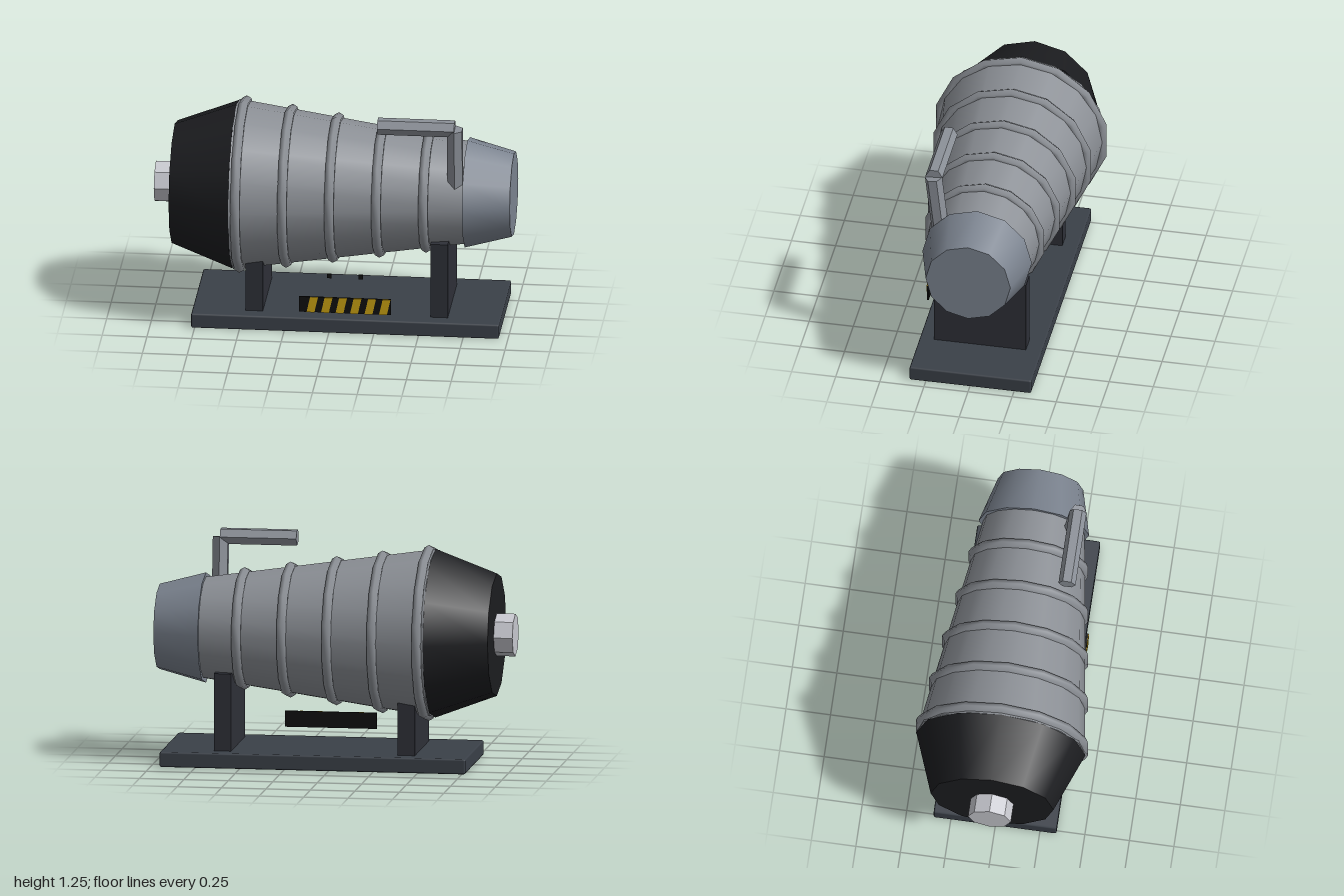
import * as THREE from 'three';
import { RoundedBoxGeometry } from 'three/addons/geometries/RoundedBoxGeometry.js';

const AXIS_Y = 0.736;

export function createModel() {
  const model = new THREE.Group();
  const paint = (color, flatShading = false) => new THREE.MeshStandardMaterial({ color, flatShading });
  const steel = paint(0x8c9096);
  const handleSteel = paint(0x8c9199, true);
  const blueSteel = paint(0x7c8490);
  const rubber = paint(0x1c1d20);
  const bright = paint(0xc8c9d0, true);
  const baseGrey = paint(0x3a4048);
  const supportGrey = paint(0x2e3038);
  const black = paint(0x101010);
  const yellow = paint(0xc8a012);

  const add = (name, geometry, material, x = 0, y = 0, z = 0) => {
    const mesh = new THREE.Mesh(geometry, material);
    mesh.name = name;
    mesh.position.set(x, y, z);
    model.add(mesh);
    return mesh;
  };
  // Cone section lying along x, from (x0, r0) to (x1, r1)
  const section = (name, x0, r0, x1, r1, sides, material) => add(
    name,
    new THREE.CylinderGeometry(r1, r0, x1 - x0, sides).rotateZ(-Math.PI / 2),
    material, (x0 + x1) / 2, AXIS_Y);
  // Straight six-sided rod between two points
  const rod = (name, a, b, radius) => {
    const dir = b.clone().sub(a);
    const mid = a.clone().add(b).multiplyScalar(0.5);
    const mesh = add(name, new THREE.CylinderGeometry(radius, radius, dir.length(), 6), handleSteel, mid.x, mid.y, mid.z);
    mesh.quaternion.setFromUnitVectors(new THREE.Vector3(0, 1, 0), dir.normalize());
  };

  // Tapered barrel with end pieces
  section('shaft', -1, 0.12, -0.88, 0.12, 8, bright);
  section('rearCap', -0.895, 0.345, -0.55, 0.475, 12, rubber);
  section('barrel', -0.55, 0.473, 0.75, 0.284, 16, steel);
  section('nose', 0.74, 0.31, 1, 0.24, 12, blueSteel);

  // Ribs around the barrel
  for (let i = 0; i < 5; i++) {
    const rib = new THREE.TorusGeometry(0.465 - i * 0.0375, 0.03, 6, 14)
      .rotateZ(Math.PI / 2).rotateY(Math.PI / 2);
    add('rib', rib, steel, -0.513 + i * 0.259, AXIS_Y);
  }

  // Handle: leaning post and grip
  rod('handlePost', new THREE.Vector3(0.695, 0.76, 0.205), new THREE.Vector3(0.695, 1.21, 0.256), 0.049);
  rod('handleGrip', new THREE.Vector3(0.695, 1.213, 0.254), new THREE.Vector3(0.265, 1.213, 0.254), 0.048);

  // Base plate and supports
  add('base', new RoundedBoxGeometry(1.72, 0.085, 0.69, 1, 0.01), baseGrey, 0.09, 0.0425, -0.002);
  for (const x of [-0.425, 0.608]) {
    add('support', new THREE.BoxGeometry(0.097, 0.44, 0.52), supportGrey, x, 0.3, 0);
  }

  // Warning plate with slanted stripes, and two studs above it
  add('warningPlate', new THREE.BoxGeometry(0.515, 0.09, 0.01), black, 0.0925, 0.175, 0.357);
  const stripe = new THREE.Shape([[-0.032, -0.045], [0.012, -0.045], [0.032, 0.045], [-0.012, 0.045]]
    .map(p => new THREE.Vector2(...p)));
  const stripeGeometry = new THREE.ExtrudeGeometry(stripe, { depth: 0.005, bevelEnabled: false });
  for (let i = 0; i < 6; i++) {
    add('warningStripe', stripeGeometry, yellow, -0.09 + i * 0.081, 0.175, 0.361);
  }
  for (const x of [0.004, 0.18]) {
    add('stud', new THREE.BoxGeometry(0.025, 0.025, 0.01), black, x, 0.348, 0.356);
  }
  return model;
}
